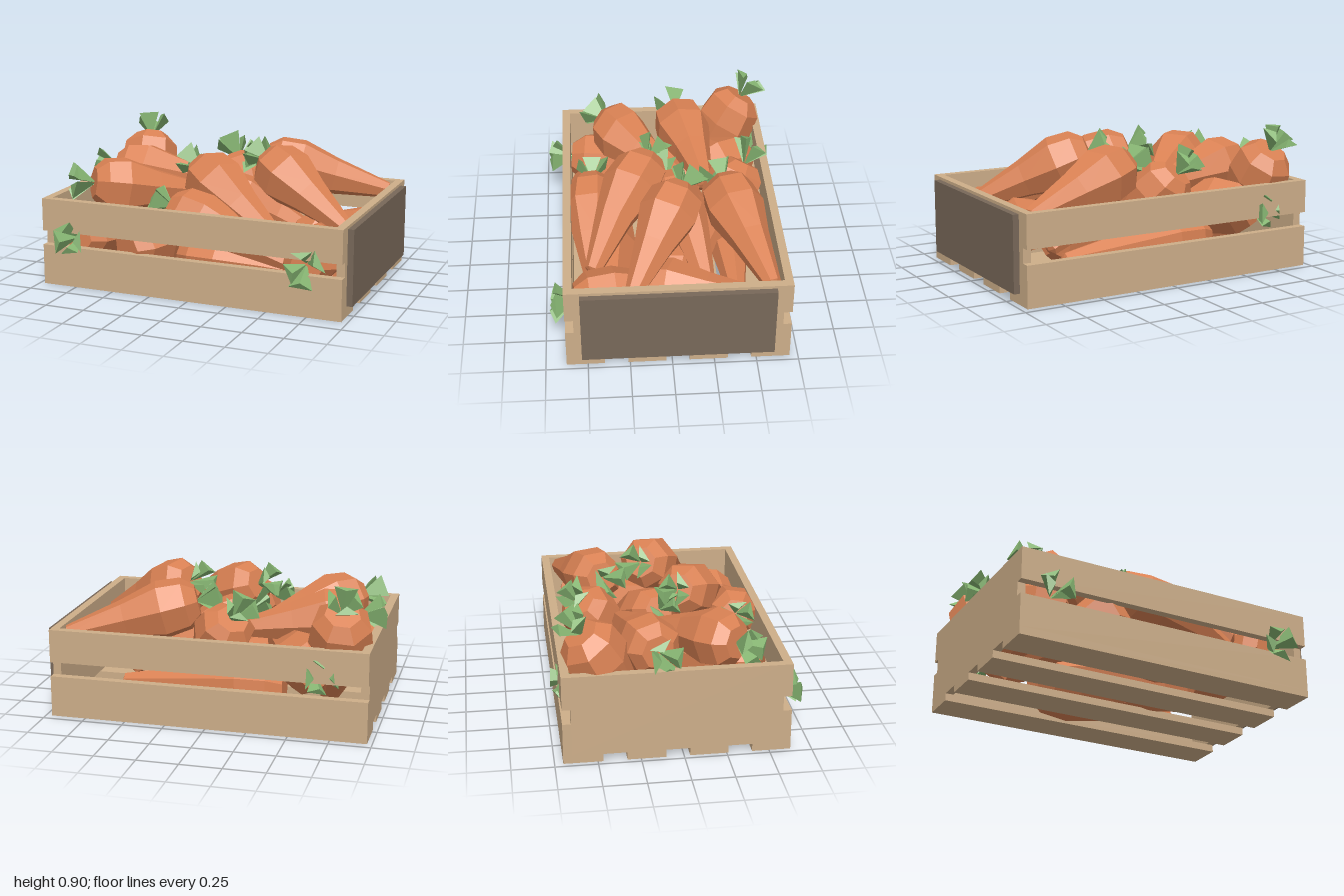
import * as THREE from 'three';

export function createModel() {
  const model = new THREE.Group();
  const mat = (name, color) => {
    const m = new THREE.MeshStandardMaterial({ color, flatShading: true });
    m.name = name;
    return m;
  };
  const wood = mat('pale wood', 0xcdae89);
  const panelWood = mat('dark panel wood', 0x786859);
  const orange = mat('carrot orange', 0xd98153);
  const green = mat('leaf green', 0x86b572);

  // Crate: each board is given by its min and max corners
  const crate = new THREE.Group();
  crate.name = 'crate';
  model.add(crate);
  const board = (name, [x0, y0, z0], [x1, y1, z1], material = wood) => {
    const mesh = new THREE.Mesh(new THREE.BoxGeometry(x1 - x0, y1 - y0, z1 - z0), material);
    mesh.position.set((x0 + x1) / 2, (y0 + y1) / 2, (z0 + z1) / 2);
    mesh.name = name;
    crate.add(mesh);
  };
  for (const [side, z0, z1] of [['front', 0.577, 0.627], ['back', -0.7, -0.65]]) {
    board(side + 'LowerBoard', [-0.97, 0.055, z0], [0.963, 0.26, z1]);
    board(side + 'UpperBoard', [-0.97, 0.35, z0], [0.963, 0.553, z1]);
  }
  board('rightEndBoard', [-0.97, 0.055, -0.65], [-0.92, 0.553, 0.577]);
  board('leftEndBoard', [0.913, 0.055, -0.65], [0.963, 0.553, 0.577]);
  board('endPanel', [0.963, 0.075, -0.603], [1, 0.535, 0.535], panelWood);
  for (const [z0, z1] of [[0.4, 0.627], [0.035, 0.26], [-0.33, -0.103], [-0.7, -0.47]]) {
    board('floorSlat', [-0.97, 0.008, z0], [0.963, 0.055, z1]);
  }

  // Seeded variation
  let seed = 7;
  const rand = () => (seed = (seed * 16807) % 2147483647) / 2147483647;

  // Carrot root: rings along +y from crown (0) to tip (-length)
  const profile = [[0, 0], [0.1, 0], [0.165, 0.09], [0.182, 0.27], [0.122, 0.55], [0.052, 0.98], [0, 1]];
  const sides = 7;
  const carrotRoot = (length, scale) => {
    const geo = new THREE.LatheGeometry(
      profile.map(([r, t]) => new THREE.Vector2(r * scale, -t * length)).reverse(), sides);
    const p = geo.attributes.position;
    const bend = (rand() - 0.5) * 0.06;
    for (let i = 0; i < p.count; i++) {
      const t = -p.getY(i) / length;
      p.setX(i, p.getX(i) + bend * Math.sin(Math.PI * t));
    }
    geo.computeVertexNormals();
    return geo;
  };

  // Leaf: narrow at the crown, wide and blunt at the end
  const leafGeo = new THREE.ConeGeometry(0.08, 0.17, 3);
  leafGeo.rotateX(Math.PI).translate(0, 0.085, 0).scale(1, 1, 0.4);

  const up = new THREE.Vector3(0, 1, 0);
  const addCarrot = (crown, tip, leafy = true, scale = 1) => {
    const a = new THREE.Vector3(...crown), b = new THREE.Vector3(...tip);
    const carrot = new THREE.Group();
    carrot.name = 'carrot';
    carrot.position.copy(a);
    carrot.quaternion.setFromUnitVectors(up, a.clone().sub(b).normalize());
    const root = new THREE.Mesh(carrotRoot(a.distanceTo(b), scale), orange);
    root.name = 'carrotRoot';
    root.rotation.y = rand() * 6;
    carrot.add(root);
    for (let i = 0; leafy && i < 4; i++) {
      const leaf = new THREE.Mesh(leafGeo, green);
      leaf.name = 'leaf';
      leaf.position.y = -0.015;
      leaf.rotation.order = 'YXZ';
      leaf.rotation.set(0.35 + rand() * 0.3, i * Math.PI * 0.5 + rand() * 0.6, 0);
      leaf.scale.setScalar(0.85 + rand() * 0.2);
      carrot.add(leaf);
    }
    model.add(carrot);
  };

  // Heap, top layer
  addCarrot([-0.79, 0.74, -0.57], [-0.65, 0.08, -0.15], true, 1.08);
  addCarrot([-0.83, 0.61, -0.13], [-0.1, 0.52, -0.28]);
  addCarrot([-0.76, 0.61, 0.34], [-0.2, 0.5, -0.12]);
  addCarrot([-0.15, 0.71, 0.08], [0.55, 0.36, 0.46]);
  addCarrot([0.24, 0.75, -0.1], [0.87, 0.44, 0.23]);
  addCarrot([0.13, 0.7, -0.36], [0.9, 0.5, -0.59]);
  addCarrot([-0.13, 0.65, -0.53], [0.18, 0.1, -0.2]);
  addCarrot([-0.18, 0.54, 0.44], [0.6, 0.25, 0.44], true, 0.9);
  addCarrot([-0.13, 0.57, -0.03], [0.6, 0.2, -0.25], true, 0.9);
  // Crowns poking through the side gaps
  addCarrot([-0.76, 0.31, 0.57], [-0.7, 0.25, -0.35]);
  addCarrot([0.73, 0.31, 0.57], [0.62, 0.28, -0.3]);
  addCarrot([-0.64, 0.38, -0.6], [-0.2, 0.36, 0.2]);
  // Lower layer
  addCarrot([0.58, 0.3, 0.2], [0.85, 0.36, -0.58], false);
  addCarrot([-0.43, 0.27, 0.56], [-0.05, 0.32, -0.25], false, 1.08);
  addCarrot([-0.42, 0.2, -0.4], [0.6, 0.17, -0.42], false);
  addCarrot([0.5, 0.21, -0.03], [-0.45, 0.15, -0.03], false);
  addCarrot([-0.15, 0.21, 0.35], [0.85, 0.17, 0.35], false);

  return model;
}
